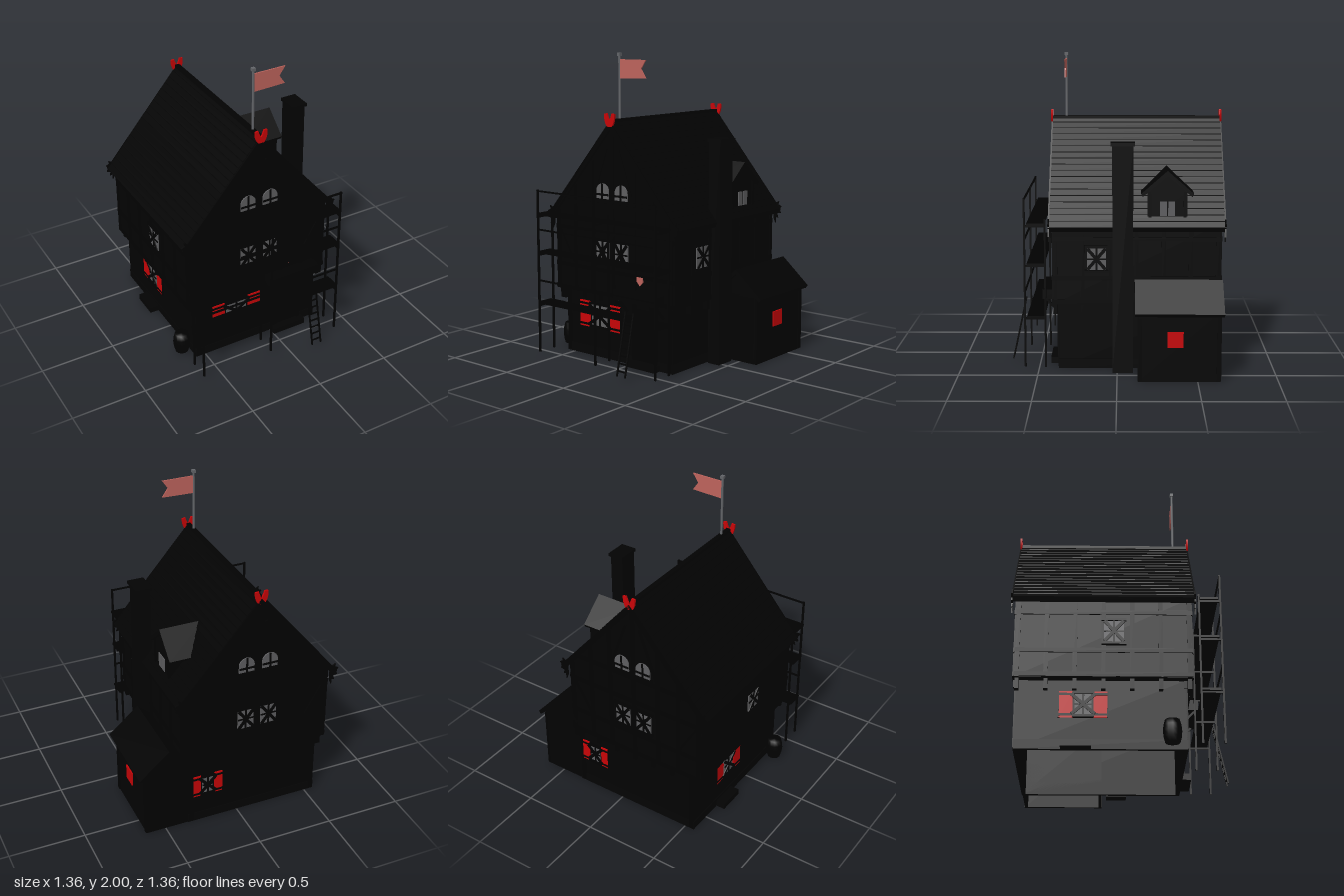
import * as THREE from 'three';

const mat = (name, color, side = THREE.FrontSide) => {
  const m = new THREE.MeshStandardMaterial({ color, side });
  m.name = name;
  return m;
};

export function createModel() {
  const M = {
    wall: mat('dark plaster', 0x020202),
    timber: mat('dark timber', 0x010101),
    roof: mat('dark shingles', 0x020202),
    stone: mat('dark stone', 0x030303),
    red: mat('red paint', 0xc80407, THREE.DoubleSide),
    glass: mat('grey glass', 0x5e5e60),
    metal: mat('grey metal', 0x626468),
    cloth: mat('faded red cloth', 0xbd635c, THREE.DoubleSide),
  };
  const root = new THREE.Group();
  const V = (x, y, z) => new THREE.Vector3(x, y, z);
  const add = (name, geo, m, parent = root) => {
    const mesh = new THREE.Mesh(geo, m);
    mesh.name = name;
    parent.add(mesh);
    return mesh;
  };
  // box given by its centre
  const box = (name, w, h, d, x, y, z, m, parent) => {
    const b = add(name, new THREE.BoxGeometry(w, h, d), m, parent);
    b.position.set(x, y, z);
    return b;
  };
  // four walls standing on y = 0, open below
  const walls = (name, x0, x1, z0, z1, h, t, m) => {
    for (const x of [x0 + t / 2, x1 - t / 2]) box(name, t, h, z1 - z0, x, h / 2, (z0 + z1) / 2, m);
    for (const z of [z0 + t / 2, z1 - t / 2]) box(name, x1 - x0 - 2 * t, h, t, (x0 + x1) / 2, h / 2, z, m);
  };
  // square bar between two points
  const bar = (name, a, b, t, m, parent) => {
    const g = add(name, new THREE.BoxGeometry(t, t, a.distanceTo(b)), m, parent);
    g.position.copy(a).add(b).multiplyScalar(0.5);
    g.lookAt(b);
    return g;
  };
  // outline in x,y pushed from z0 to z1
  const prism = (name, pts, z0, z1, m, parent) => {
    const s = new THREE.Shape(pts.map(p => new THREE.Vector2(...p)));
    const g = new THREE.ExtrudeGeometry(s, { depth: z1 - z0, bevelEnabled: false });
    return add(name, g.translate(0, 0, z0), m, parent);
  };
  const group = (name, x, y, z, turn = 0) => {
    const g = new THREE.Group();
    g.name = name;
    g.position.set(x, y, z);
    g.rotation.y = turn;
    root.add(g);
    return g;
  };

  const CX = -0.12, RIDGE = 1.58, SLOPE = 1.18;
  const roofY = x => RIDGE - SLOPE * Math.abs(x - CX);

  // Walls
  walls('lowerWall', -0.56, 0.34, -0.64, 0.37, 0.435, 0.02, M.wall);
  walls('foundation', -0.565, 0.345, -0.645, 0.375, 0.06, 0.02, M.stone);
  prism('upperWalls', [[-0.62, 0.43], [0.38, 0.43], [0.38, 0.95], [CX, 1.54], [-0.62, 0.95]], -0.65, 0.405, M.wall);

  // Shingled roof, built as overlapping courses on each side
  for (const s of [-1, 1]) {
    const pts = [[CX, RIDGE - 0.045], [CX, RIDGE]], rows = 18;
    for (let i = 1; i <= rows; i++) {
      const d = 0.55 * i / rows;
      pts.push([CX + s * d, RIDGE - SLOPE * d + 0.003]);
      if (i < rows) pts.push([CX + s * d, RIDGE - SLOPE * d - 0.002]);
    }
    pts.push([CX + s * 0.535, RIDGE - SLOPE * 0.535 - 0.045]);
    prism('roofSide', pts, -0.675, 0.425, M.roof);
  }
  box('ridgeCap', 0.03, 0.02, 1.1, CX, RIDGE - 0.005, -0.125, M.roof);

  // Gable boards with carved ends and red ridge horns
  for (const z of [-0.682, 0.425]) {
    for (const s of [-1, 1]) {
      const X = d => CX + s * d;
      prism('gableBoard', [[X(0), 1.575], [X(0.553), 0.931], [X(0.53), 0.9], [X(0), 1.52]], z, z + 0.01, M.timber);
      prism('carvedBoardEnd', [[X(0.515), 0.97], [X(0.54), 0.985], [X(0.535), 0.962], [X(0.56), 0.95],
        [X(0.545), 0.93], [X(0.555), 0.905], [X(0.525), 0.9], [X(0.535), 0.87], [X(0.515), 0.875],
        [X(0.515), 0.835], [X(0.5), 0.87], [X(0.5), 0.93]], z, z + 0.01, M.timber);
      const horn = new THREE.Shape();
      horn.moveTo(X(0), 1.54);
      horn.lineTo(X(0.02), 1.54);
      horn.quadraticCurveTo(X(0.045), 1.57, X(0.043), 1.622);
      horn.lineTo(X(0.02), 1.625);
      horn.quadraticCurveTo(X(0.013), 1.6, X(0), 1.578);
      add('ridgeHorn', new THREE.ExtrudeGeometry(horn, { depth: 0.012, bevelEnabled: false }), M.red).position.z = z;
    }
  }

  // Timber frame on front and back
  for (const [z, zl] of [[0.405, 0.372], [-0.652, -0.642]]) {
    for (const y of [0.445, 0.6, 0.85, 1.03]) {
      const half = Math.min(0.5, (RIDGE - 0.05 - y) / SLOPE);
      box('crossBeam', half * 2, 0.028, 0.018, CX, y, z, M.timber);
    }
    for (const x of [-0.6, -0.45, -0.3, -0.12, 0.06, 0.21, 0.36]) {
      const top = Math.min(roofY(x) - 0.05, 1.5);
      box('wallPost', 0.026, top - 0.43, 0.014, x, (top + 0.43) / 2, z, M.timber);
    }
    for (const s of [-1, 1]) {
      bar('wallBrace', V(CX + s * 0.34, 0.62, z), V(CX + s * 0.47, 0.84, z), 0.014, M.timber);
      bar('gableBrace', V(CX + s * 0.18, 1.04, z), V(CX + s * 0.05, 1.4, z), 0.014, M.timber);
    }
    for (const x of [-0.545, 0.32]) box('cornerPost', 0.03, 0.42, 0.012, x, 0.22, zl, M.timber);
    for (let i = 0; i < 7; i++) box('jettyBracket', 0.025, 0.05, 0.03, -0.55 + i * 0.145, 0.41, zl, M.timber);
  }
  // Timber frame on the sides
  for (const [x, xl] of [[-0.62, -0.575], [0.38, 0.355]]) {
    for (const y of [0.445, 0.6, 0.85]) box('sideBeam', 0.016, 0.028, 1.06, x, y, -0.12, M.timber);
    for (let i = 0; i < 7; i++) {
      const z = -0.635 + i * 0.171;
      box('sidePost', 0.014, 0.5, 0.026, x, 0.68, z, M.timber);
      box('sideBracket', 0.045, 0.07, 0.025, xl, 0.4, z, M.timber);
    }
  }

  // Windows face local +z: grey pane, frame, crossed boards, optional shutters and inner pane
  const windowAt = (x, y, z, turn, w, h, { shutter = 0, arch = false, inner = false } = {}) => {
    const g = group('window', x, y, z, turn);
    const s = new THREE.Shape();
    s.moveTo(-w / 2, -h / 2);
    s.lineTo(w / 2, -h / 2);
    if (arch) s.absellipse(0, 0, w / 2, h / 2, 0, Math.PI, false);
    else { s.lineTo(w / 2, h / 2); s.lineTo(-w / 2, h / 2); }
    add('pane', new THREE.ExtrudeGeometry(s, { depth: 0.008, bevelEnabled: false, curveSegments: 8 }), M.glass, g);
    box('mullion', 0.012, h, 0.006, 0, 0, 0.009, M.timber, g);
    if (arch) box('glazingBar', w, 0.013, 0.006, 0, -0.022, 0.009, M.timber, g);
    else {
      const span = shutter ? w + 0.045 : w;
      for (const k of [-1, 1]) {
        const b = box('crossBoard', Math.hypot(span, h) * 0.95, 0.02, 0.006, 0, 0, 0.014, M.timber, g);
        b.rotation.z = k * Math.atan2(h, span);
      }
      box('glazingBar', w, 0.01, 0.006, 0, 0, 0.009, M.timber, g);
      box('centreDiamond', 0.034, 0.034, 0.006, 0, 0, 0.01, M.timber, g).rotation.z = Math.PI / 4;
      box('lintel', w + 0.03, 0.014, 0.02, 0, h / 2 + 0.007, 0.006, M.timber, g);
    }
    box('sill', w + 0.03, 0.016, 0.024, 0, -h / 2 - 0.008, 0.006, M.timber, g);
    if (shutter) for (const k of [-1, 1]) {
      const sx = k * (w / 2 + shutter / 2 + 0.012);
      box('shutter', shutter, h + 0.035, 0.007, sx, 0, 0.006, M.red, g);
      for (const e of [-1, 1]) box('shutterStrap', shutter, 0.014, 0.008, sx, e * (h / 2 - 0.001), 0.008, M.timber, g);
      box('shutterEdge', 0.006, h + 0.036, 0.012, sx + k * (shutter / 2 + 0.003), 0, 0.006, M.timber, g);
    }
    if (inner) {
      box('innerPane', w, h, 0.006, 0, 0, -0.025, M.glass, g);
      box('innerMullion', 0.014, h, 0.006, 0, 0, -0.028, M.timber, g);
      box('innerBar', w, 0.014, 0.006, 0, 0, -0.028, M.timber, g);
    }
  };
  const PI = Math.PI;
  for (const [z, turn] of [[0.412, 0], [-0.659, PI]]) for (const s of [-1, 1]) {
    windowAt(CX + s * 0.079, 0.725, z, turn, 0.108, 0.14);
    windowAt(CX + s * 0.079, 1.122, z, turn, 0.104, 0.1, { arch: true });
  }
  windowAt(-0.265, 0.28, 0.372, 0, 0.15, 0.14, { shutter: 0.092, inner: true });
  windowAt(0.21, 0.275, -0.643, PI, 0.07, 0.12, { shutter: 0.055 });
  windowAt(-0.562, 0.275, -0.24, -PI / 2, 0.1, 0.13, { shutter: 0.08, inner: true });
  windowAt(-0.626, 0.72, -0.06, -PI / 2, 0.12, 0.14);
  windowAt(0.384, 0.725, 0.13, PI / 2, 0.12, 0.14);

  // Dormer on the right roof slope
  const dormer = group('dormer', 0, 0, -0.315, PI / 2);
  prism('dormerWall', [[-0.125, 0.95], [0.125, 0.95], [0.125, 1.15], [0, 1.26], [-0.125, 1.15]], 0.1, 0.375, M.wall, dormer);
  prism('dormerRoof', [[0, 1.285], [-0.165, 1.14], [-0.155, 1.12], [0, 1.25], [0.155, 1.12], [0.165, 1.14]], 0.1, 0.392, M.roof, dormer);
  for (const s of [-1, 1]) {
    box('dormerPane', 0.043, 0.092, 0.006, s * 0.026, 1.045, 0.377, M.glass, dormer);
    box('dormerPost', 0.018, 0.2, 0.01, s * 0.11, 1.05, 0.377, M.timber, dormer);
  }

  // Chimney
  box('chimneyShaft', 0.09, 1.45, 0.13, 0.405, 0.725, -0.035, M.stone);
  box('chimneyCap', 0.108, 0.02, 0.15, 0.408, 1.455, -0.035, M.stone);

  // Gabled annex on the right side
  walls('annexWall', 0.32, 0.63, -0.64, -0.13, 0.45, 0.02, M.wall);
  prism('annexGable', [[0.32, 0.44], [0.63, 0.44], [0.63, 0.46], [0.475, 0.59], [0.32, 0.46]], -0.64, -0.13, M.wall);
  prism('annexRoof', [[0.475, 0.58], [0.66, 0.42], [0.675, 0.44], [0.475, 0.612], [0.34, 0.495], [0.35, 0.475]], -0.66, -0.11, M.roof);
  for (const z of [-0.63, -0.14]) box('annexPost', 0.014, 0.43, 0.028, 0.63, 0.22, z, M.timber);
  box('annexBeam', 0.014, 0.028, 0.5, 0.63, 0.42, -0.385, M.timber);
  box('redHatch', 0.008, 0.1, 0.1, 0.634, 0.27, -0.36, M.red);

  // Door, canopy, steps and side step
  box('door', 0.15, 0.34, 0.012, 0.12, 0.21, 0.374, M.timber);
  for (const s of [-1, 1]) {
    box('doorPost', 0.025, 0.37, 0.025, 0.12 + s * 0.09, 0.22, 0.376, M.timber);
    bar('canopyBrace', V(0.12 + s * 0.15, 0.35, 0.375), V(0.12 + s * 0.15, 0.44, 0.455), 0.014, M.timber);
  }
  box('canopy', 0.36, 0.065, 0.11, 0.12, 0.475, 0.425, M.roof);
  box('doorStep', 0.24, 0.04, 0.06, 0.12, 0.02, 0.4, M.stone);
  box('sideStep', 0.07, 0.04, 0.18, -0.59, 0.02, -0.28, M.stone);
  prism('shield', [[0.085, 0.6], [0.085, 0.57], [0.11, 0.543], [0.135, 0.57], [0.135, 0.6]], 0.408, 0.416, M.cloth);

  // Scaffold
  const scaffold = group('scaffold', 0, 0, 0);
  for (const x of [-0.62, -0.12, 0.38]) {
    box('outerPole', 0.012, 1.09, 0.012, x, 0.565, 0.585, M.timber, scaffold);
    box('innerPole', 0.012, 0.96, 0.012, x, 0.5, 0.455, M.timber, scaffold);
  }
  for (const y of [0.345, 0.685, 0.94]) {
    box('deck', 1.04, 0.014, 0.11, -0.12, y + 0.006, 0.515, M.timber, scaffold);
    box('guardRail', 1.01, 0.01, 0.01, -0.12, y + 0.162, 0.585, M.timber, scaffold);
    for (const x of [-0.62, -0.12, 0.38]) box('crossTie', 0.012, 0.012, 0.13, x, y - 0.008, 0.52, M.timber, scaffold);
  }

  // Ladder
  const ladder = group('ladder', 0, 0, 0);
  for (const x of [0.147, 0.213]) bar('ladderRail', V(x, 0.025, 0.677), V(x, 0.42, 0.592), 0.009, M.timber, ladder);
  for (let i = 0; i < 8; i++) {
    const t = (i + 0.7) / 8.4;
    box('rung', 0.066, 0.008, 0.008, 0.18, 0.025 + t * 0.395, 0.677 - t * 0.085, M.timber, ladder);
  }

  // Barrel
  const profile = [[0, 0], [0.044, 0], [0.053, 0.035], [0.056, 0.07], [0.053, 0.105], [0.044, 0.14], [0, 0.14]];
  const barrel = add('barrel', new THREE.LatheGeometry(profile.map(p => new THREE.Vector2(...p)), 12), M.timber);
  barrel.position.set(-0.624, 0.02, 0.28);

  // Flag
  add('flagPole', new THREE.CylinderGeometry(0.008, 0.008, 0.42, 8), M.metal).position.set(CX, 1.78, 0.335);
  box('flagPoleTip', 0.023, 0.02, 0.023, CX, 1.99, 0.335, M.metal);
  prism('flag', [[-0.115, 1.84], [0.1, 1.845], [0.06, 1.903], [0.1, 1.96], [-0.115, 1.96]], 0.331, 0.339, M.cloth);

  return root;
}
